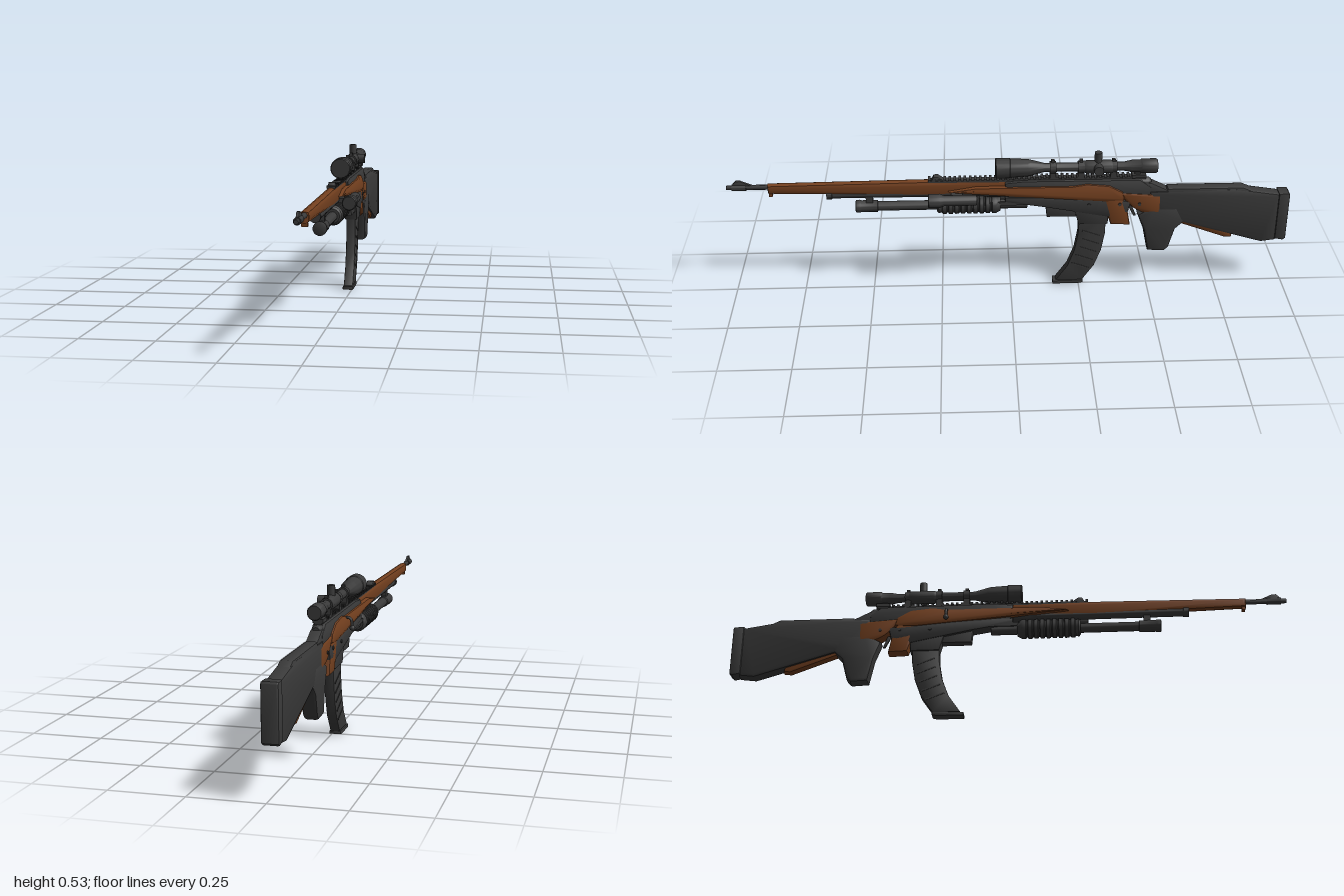
import * as THREE from 'three';
import { toCreasedNormals } from 'three/addons/utils/BufferGeometryUtils.js';

const CX = -0.014; // centre plane of the rifle
const steel = new THREE.MeshStandardMaterial({ color: 0x3a3a3a });
steel.name = 'dark steel';
const wood = new THREE.MeshStandardMaterial({ color: 0x74401f });
wood.name = 'brown wood';

export function createModel() {
  const model = new THREE.Group();
  model.name = 'rifle';

  const add = (name, geo, mat = steel) => {
    const m = new THREE.Mesh(geo, mat);
    m.name = name;
    model.add(m);
    return m;
  };

  // Turned part along z: profile of [z, radius] from back to front
  const turned = (name, x, y, profile, mat, seg = 24) => {
    const pts = profile.map(([z, r]) => new THREE.Vector2(r, z));
    pts.unshift(new THREE.Vector2(0, profile[0][0]));
    pts.push(new THREE.Vector2(0, profile[profile.length - 1][0]));
    const g = new THREE.LatheGeometry(pts, seg).rotateX(Math.PI / 2).translate(x, y, 0);
    return add(name, toCreasedNormals(g, 0.6), mat);
  };

  // Side profile of [z, y] points extruded across x, with softened edges
  const plate = (name, width, pts, mat, bevel = 0.004, x = CX) => {
    const s = new THREE.Shape(pts.map(([z, y]) => new THREE.Vector2(z, y)));
    const depth = width - 2 * bevel;
    const g = new THREE.ExtrudeGeometry(s, {
      depth, bevelEnabled: bevel > 0, bevelSize: bevel, bevelThickness: bevel,
      bevelOffset: -bevel, bevelSegments: 2,
    });
    g.translate(0, 0, -depth / 2).rotateY(-Math.PI / 2).translate(x, 0, 0);
    return add(name, toCreasedNormals(g, 0.7), mat);
  };

  const box = (name, w, h, d, x, y, z, mat) =>
    add(name, new THREE.BoxGeometry(w, h, d).translate(x, y, z), mat);

  // Barrel and front sight
  turned('barrel', CX, 0.416, [[-0.1, 0.012], [0.5, 0.011], [0.995, 0.0085], [1, 0.007]]);
  turned('frontSightBand', CX, 0.416, [[0.93, 0.012], [0.98, 0.012]]);
  plate('frontSightRamp', 0.009, [[0.985, 0.42], [0.965, 0.442], [0.95, 0.442], [0.9, 0.42]], steel, 0.001);

  // Wooden forend
  plate('forend', 0.031, [[0.855, 0.393], [0.855, 0.427], [0.3, 0.433], [-0.02, 0.43],
    [-0.02, 0.375], [0.3, 0.372], [0.6, 0.386]], wood, 0.011);
  box('forendCap', 0.02, 0.012, 0.012, CX, 0.388, 0.845, wood);

  // Wooden receiver bed, neck and stock belly
  plate('receiverBed', 0.062, [[0.22, 0.395], [0.12, 0.412], [-0.22, 0.412], [-0.27, 0.42], [-0.35, 0.412],
    [-0.4, 0.385], [-0.41, 0.35], [-0.34, 0.345], [-0.24, 0.353], [0, 0.372]], wood, 0.012);
  plate('triggerBed', 0.052, [[-0.33, 0.36], [-0.4, 0.36], [-0.42, 0.3], [-0.43, 0.248],
    [-0.36, 0.25], [-0.35, 0.28]], wood, 0.008);
  plate('stockNeck', 0.054, [[-0.39, 0.38], [-0.54, 0.37], [-0.54, 0.29], [-0.47, 0.298],
    [-0.44, 0.315], [-0.41, 0.345]], wood, 0.01);
  plate('stockBelly', 0.036, [[-0.54, 0.34], [-0.79, 0.3], [-0.805, 0.185], [-0.78, 0.183],
    [-0.6, 0.25]], wood, 0.008);

  // Steel receiver, upper and lower
  plate('receiver', 0.046, [[0.02, 0.38], [0.02, 0.425], [-0.05, 0.432], [-0.46, 0.43], [-0.5, 0.4],
    [-0.5, 0.36], [0, 0.355]], steel, 0.008);
  plate('receiverLower', 0.052, [[0.02, 0.35], [0.02, 0.37], [-0.2, 0.365], [-0.34, 0.352], [-0.43, 0.345],
    [-0.42, 0.3], [-0.35, 0.282], [-0.13, 0.325]], steel, 0.006);
  plate('magazineWell', 0.046, [[-0.22, 0.34], [-0.35, 0.34], [-0.35, 0.252], [-0.245, 0.252]], steel, 0.004);
  plate('magazineCatch', 0.034, [[-0.125, 0.33], [-0.25, 0.33], [-0.25, 0.282], [-0.13, 0.282]]);
  plate('receiverTang', 0.04, [[-0.42, 0.42], [-0.5, 0.415], [-0.56, 0.385], [-0.56, 0.35], [-0.42, 0.36]]);
  for (const z of [-0.28, -0.39, -0.46])
    add('receiverPin', new THREE.CylinderGeometry(0.006, 0.006, 0.06, 12).rotateZ(Math.PI / 2).translate(CX, 0.335, z));
  plate('trigger', 0.008, [[-0.42, 0.32], [-0.435, 0.32], [-0.452, 0.275], [-0.443, 0.275]], steel, 0.001);

  // Bolt with bent handle
  turned('bolt', CX, 0.412, [[-0.5, 0.012], [-0.49, 0.018], [-0.4, 0.018], [-0.36, 0.014]]);
  const v = (x, y, z) => new THREE.Vector3(x, y, z);
  add('boltHandle', new THREE.TubeGeometry(new THREE.CatmullRomCurve3(
    [v(-0.025, 0.403, -0.22), v(-0.05, 0.405, -0.22), v(-0.06, 0.398, -0.22), v(-0.063, 0.37, -0.22)]), 16, 0.005, 10));
  add('boltKnob', new THREE.SphereGeometry(0.0095, 16, 12).translate(-0.064, 0.369, -0.22));

  // Under barrel with pump
  turned('lowerBarrel', CX, 0.383, [[-0.05, 0.02], [0.08, 0.02], [0.1, 0.016], [0.63, 0.015], [0.631, 0.018],
    [0.65, 0.018]]);
  turned('magazineTube', CX, 0.332, [[-0.06, 0.017], [0.47, 0.017], [0.472, 0.021], [0.53, 0.021],
    [0.535, 0.023], [0.548, 0.023], [0.55, 0.019]]);
  box('tubeClamp', 0.02, 0.05, 0.025, CX, 0.36, 0.5);
  const pump = [[0.035, 0.026], [0.045, 0.031]];
  for (let i = 0; i < 9; i++) {
    const z = 0.052 + i * 0.022;
    pump.push([z, 0.035], [z + 0.013, 0.035], [z + 0.016, 0.03], [z + 0.02, 0.03]);
  }
  pump.push([0.255, 0.032], [0.262, 0.025]);
  turned('pumpGrip', CX, 0.334, pump);
  for (const s of [-1, 1]) box('actionBar', 0.005, 0.014, 0.24, CX + s * 0.022, 0.345, -0.06);

  // Side lamp and its clamp
  turned('lamp', 0.047, 0.382, [[0.12, 0.017], [0.124, 0.019], [0.235, 0.019], [0.25, 0.025], [0.288, 0.025], [0.291, 0.022]]);
  box('lampClamp', 0.05, 0.016, 0.04, 0.015, 0.382, 0.19);

  // Rails and rear sight
  const rail = (z0, z1, y) => {
    box('rail', 0.026, 0.008, z1 - z0, CX, y, (z0 + z1) / 2);
    for (let z = z0 + 0.008; z < z1; z += 0.018) box('railTooth', 0.03, 0.008, 0.009, CX, y + 0.006, z);
  };
  rail(-0.01, 0.29, 0.43);
  rail(-0.48, -0.01, 0.433);
  plate('rearSight', 0.024, [[0.28, 0.432], [0.27, 0.45], [0.255, 0.45], [0.23, 0.432]], steel, 0.002);

  // Scope with turrets and mounts
  turned('scope', CX, 0.475, [[-0.52, 0.023], [-0.515, 0.026], [-0.465, 0.026], [-0.46, 0.023], [-0.43, 0.022],
    [-0.4, 0.016], [-0.12, 0.016], [-0.07, 0.029], [-0.06, 0.031], [0, 0.034], [0.002, 0.036], [0.05, 0.036],
    [0.053, 0.033]], steel, 32);
  turned('turretHousing', CX, 0.475, [[-0.365, 0.02], [-0.355, 0.024], [-0.27, 0.024], [-0.26, 0.02]]);
  add('topTurret', new THREE.CylinderGeometry(0.0135, 0.0135, 0.06, 20).translate(CX, 0.501, -0.31));
  add('sideTurret', new THREE.CylinderGeometry(0.017, 0.017, 0.045, 20).rotateZ(Math.PI / 2).translate(0.008, 0.478, -0.31));
  for (const z of [-0.365, -0.25, -0.15]) {
    turned('scopeRing', CX, 0.475, [[z - 0.011, 0.022], [z + 0.011, 0.022]]);
    box('ringFoot', 0.03, 0.036, 0.022, CX, 0.45, z);
    box('ringScrew', 0.012, 0.01, 0.012, CX, 0.5, z);
  }
  box('scopeMountBase', 0.036, 0.012, 0.05, CX, 0.441, -0.455);
  box('scopeMountPost', 0.016, 0.025, 0.02, CX, 0.452, -0.45);

  // Curved magazine built along a bent path, with ribs and a floor plate
  const front = [[-0.245, 0.28], [-0.244, 0.21], [-0.232, 0.14], [-0.208, 0.075], [-0.166, 0.014]];
  const back = front.map(([z, y]) => [z - 0.098, y]);
  plate('magazine', 0.034, [...front, ...back.reverse()], steel, 0.003);
  for (let i = 0; i < 5; i++) {
    const y = 0.075 + i * 0.034;
    const z = -0.257 - 0.036 * Math.sin((i / 4) * Math.PI / 2);
    const rib = box('magazineRib', 0.037, 0.005, 0.07, 0, 0, 0);
    rib.position.set(CX, y, z);
    rib.rotation.x = -0.35;
  }
  plate('magazineFloor', 0.039, [[-0.155, 0], [-0.155, 0.012], [-0.266, 0.014], [-0.266, 0.004], [-0.25, 0]], steel, 0.002);

  // Stock with pistol grip, cheek rest and butt pad
  plate('stock', 0.052, [[-0.495, 0.382], [-0.8, 0.388], [-0.965, 0.362], [-0.965, 0.172], [-0.91, 0.165],
    [-0.62, 0.252], [-0.59, 0.235], [-0.58, 0.27], [-0.51, 0.285]], steel, 0.012);
  plate('pistolGrip', 0.054, [[-0.455, 0.29], [-0.48, 0.225], [-0.498, 0.138], [-0.56, 0.135], [-0.575, 0.15],
    [-0.595, 0.225], [-0.63, 0.26], [-0.6, 0.32], [-0.51, 0.32]], steel, 0.012);
  plate('cheekRest', 0.046, [[-0.55, 0.375], [-0.56, 0.392], [-0.83, 0.392], [-0.87, 0.374], [-0.87, 0.34],
    [-0.6, 0.34]], steel, 0.01);
  plate('buttPad', 0.057, [[-0.96, 0.18], [-0.96, 0.366], [-0.995, 0.366], [-1, 0.36], [-1, 0.182], [-0.99, 0.174]], steel, 0.006);

  return model;
}
